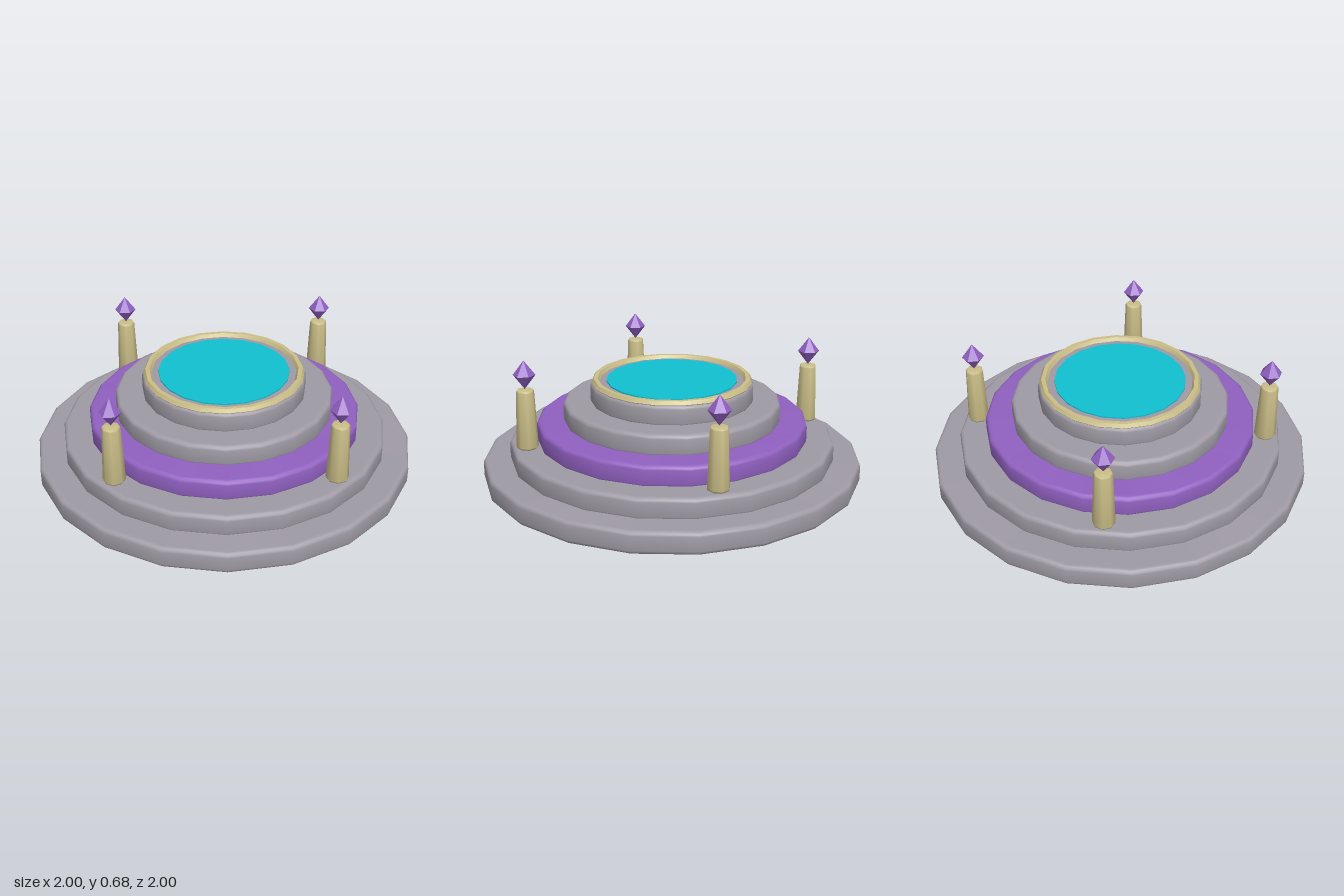
import * as THREE from 'three';
import { toCreasedNormals } from 'three/addons/utils/BufferGeometryUtils.js';

const material = (name, color) => {
  const m = new THREE.MeshStandardMaterial({ color });
  m.name = name;
  return m;
};

// Solid drum with rounded rims, standing on y = 0
function roundedDrum(bottomR, topR, height, bevel, sides, crease) {
  const pts = [[0, 0], [bottomR - bevel * 1.4, 0]];
  for (let i = 0; i <= 3; i++) {
    const a = (i * Math.PI) / 6;
    pts.push([bottomR - bevel + bevel * Math.sin(a), bevel - bevel * Math.cos(a)]);
  }
  for (let i = 0; i <= 3; i++) {
    const a = (i * Math.PI) / 6;
    pts.push([topR - bevel + bevel * Math.cos(a), height - bevel + bevel * Math.sin(a)]);
  }
  pts.push([topR - bevel * 1.4, height], [0, height]);
  const geo = new THREE.LatheGeometry(pts.map(([x, y]) => new THREE.Vector2(x, y)), sides);
  return toCreasedNormals(geo, crease);
}

export function createModel() {
  const model = new THREE.Group();
  model.name = 'steppedAltar';
  const stone = material('stone', 0x9f9aa4);
  const purple = material('purple', 0x9060c0);
  const gold = material('paleGold', 0xcabe88);
  const cyan = material('cyan', 0x10c0d0);

  const add = (name, geo, mat, x = 0, y = 0, z = 0, parent = model) => {
    const mesh = new THREE.Mesh(geo, mat);
    mesh.name = name;
    mesh.position.set(x, y, z);
    parent.add(mesh);
    return mesh;
  };

  // Five stacked steps, the middle one purple
  for (let i = 0; i < 5; i++) {
    const r = (7 - i) / 7;
    add(`step${i + 1}`, roundedDrum(r, r, 0.114, 0.021, 20, 0.6), i === 2 ? purple : stone, 0, i * 0.1, 0);
  }

  // Gold rim and glowing disc on the top step
  const rim = new THREE.TorusGeometry(0.4, 0.0214, 6, 20).rotateX(-Math.PI / 2);
  add('rim', toCreasedNormals(rim, 0.6), gold, 0, 0.514, 0);
  add('portalDisc', new THREE.CylinderGeometry(0.343, 0.343, 0.02, 20), cyan, 0, 0.511, 0);

  // Four tapered pillars, each with a six-sided crystal
  const pillarGeo = roundedDrum(0.057, 0.046, 0.316, 0.012, 8, 0.9);
  const crystalGeo = new THREE.LatheGeometry(
    [[0, -0.075], [0.057, 0], [0, 0.075]].map(([x, y]) => new THREE.Vector2(x, y)), 6, Math.PI / 6);
  const crystalFlat = toCreasedNormals(crystalGeo, 0.1);
  for (const x of [-0.546, 0.546]) {
    for (const z of [-0.546, 0.546]) {
      const post = new THREE.Group();
      post.name = `${z > 0 ? 'front' : 'back'}${x > 0 ? 'Left' : 'Right'}Post`;
      post.position.set(x, 0.214, z);
      model.add(post);
      add('pillar', pillarGeo, gold, 0, 0, 0, post);
      add('crystal', crystalFlat, purple, 0, 0.393, 0, post);
    }
  }
  return model;
}
